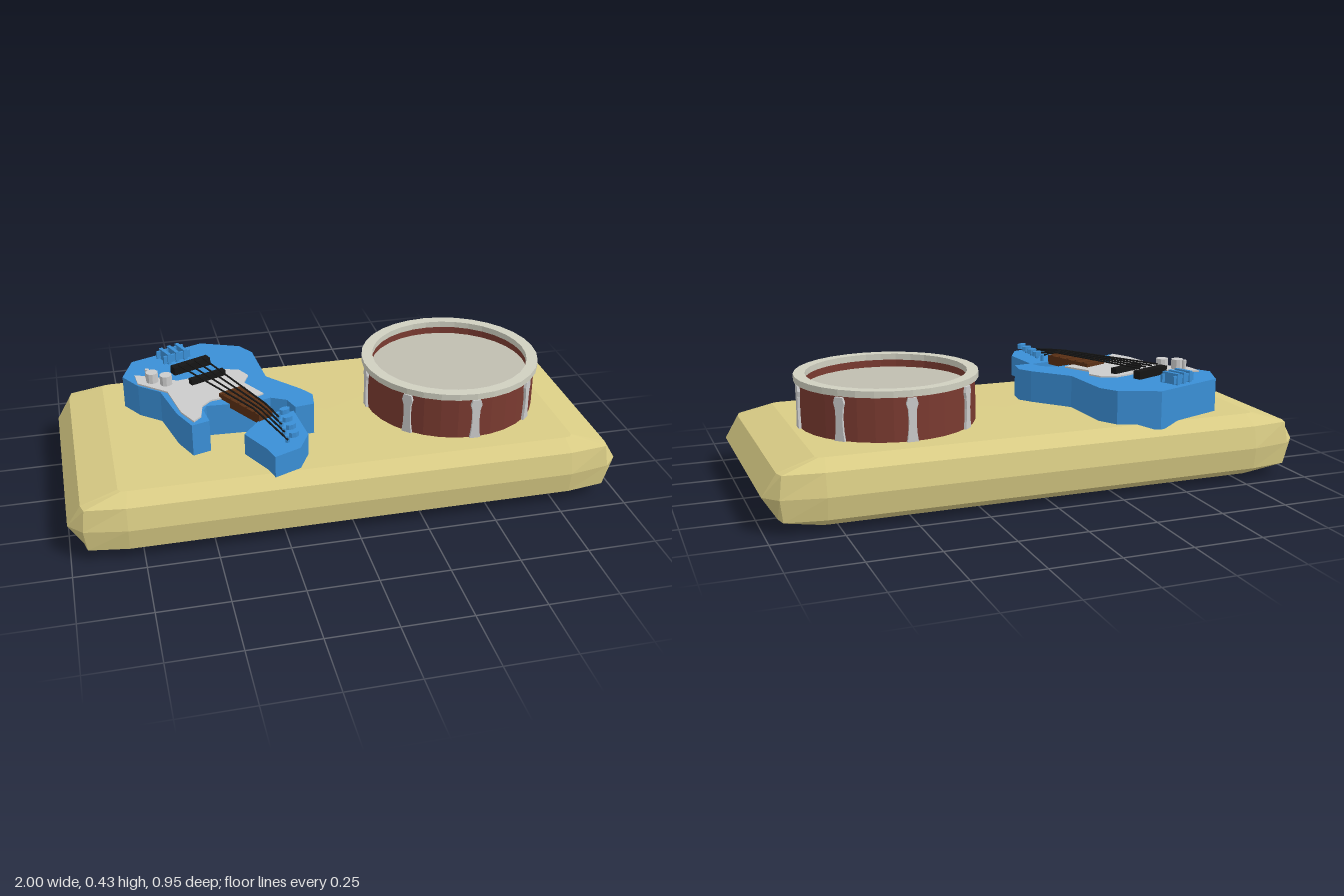
import * as THREE from 'three';

const mat = (color, extra = {}) => {
  const m = new THREE.MeshStandardMaterial({ color, flatShading: true, ...extra });
  return m;
};
const SAND = mat(0xd9cc85), BLUE = mat(0x3a8fd6), RED = mat(0x7a3a30, { side: THREE.DoubleSide });
const BROWN = mat(0x5a2f14), BLACK = mat(0x151515), GREY = mat(0xcccccc);
const RIM = mat(0xcfcfc0), SKIN = mat(0xc0bdb0);

function add(parent, name, geometry, material, x = 0, y = 0, z = 0) {
  const mesh = new THREE.Mesh(geometry, material);
  mesh.name = name;
  mesh.position.set(x, y, z);
  parent.add(mesh);
  return mesh;
}

// Flat plate cut from an x/z outline, between two heights
function plate(parent, name, outline, y0, y1, material) {
  const shape = new THREE.Shape(outline.map(([x, z]) => new THREE.Vector2(x, z)));
  const g = new THREE.ExtrudeGeometry(shape, { depth: y1 - y0, bevelEnabled: false });
  g.rotateX(Math.PI / 2);
  return add(parent, name, g, material, 0, y1, 0);
}

// Slab with chamfered edges, lofted from twelve-sided rings
function slabGeometry() {
  // y, end x, end z, corner x, corner z, side x, side z
  const rings = [
    [0.01, 0.82, 0.37, 0.81, 0.39, 0.79, 0.395],
    [0.045, 0.95, 0.385, 0.94, 0.43, 0.8, 0.452],
    [0.125, 1, 0.385, 0.95, 0.438, 0.8, 0.465],
    [0.205, 0.95, 0.395, 0.94, 0.43, 0.8, 0.448],
    [0.243, 0.82, 0.38, 0.81, 0.395, 0.79, 0.398],
  ];
  const pos = [], index = [], n = 12;
  for (const [y, ...p] of rings) {
    [[1, 1], [-1, 1], [-1, -1], [1, -1]].forEach(([sx, sz]) => {
      const corner = [[p[0], p[1]], [p[2], p[3]], [p[4], p[5]]];
      if (sx * sz < 0) corner.reverse();
      corner.forEach(([x, z]) => pos.push(sx * x, y, sz * z - 0.01));
    });
  }
  const last = (rings.length - 1) * n, bottom = rings.length * n, top = bottom + 1;
  pos.push(0, 0, -0.01, 0, 0.247, -0.01);
  for (let i = 0; i < n; i++) {
    const j = (i + 1) % n;
    for (let r = 0; r < last; r += n) {
      index.push(r + i, r + n + i, r + j, r + j, r + n + i, r + n + j);
    }
    index.push(bottom, i, j, top, last + j, last + i);
  }
  const g = new THREE.BufferGeometry();
  g.setAttribute('position', new THREE.Float32BufferAttribute(pos, 3));
  g.setIndex(index);
  g.computeVertexNormals();
  return g;
}

function createDrum() {
  const drum = new THREE.Group();
  drum.name = 'drum';
  drum.position.set(0.47, 0, -0.012);
  const lathe = (pts) => new THREE.LatheGeometry(pts.map(([r, y]) => new THREE.Vector2(r, y)), 32);
  add(drum, 'drumShell', lathe([[0.32, 0.235], [0.32, 0.402], [0.295, 0.402], [0.295, 0.36]]), RED);
  add(drum, 'drumRim', lathe([[0.291, 0.402], [0.332, 0.402], [0.332, 0.425], [0.291, 0.425], [0.291, 0.402]]), RIM);
  add(drum, 'drumSkin', new THREE.CylinderGeometry(0.295, 0.295, 0.012, 32), SKIN, 0, 0.368, 0);

  // Eight waisted lugs round the shell
  const half = [[0.02, 0], [0.015, 0.035], [0.013, 0.075], [0.015, 0.115], [0.021, 0.135], [0.015, 0.155]];
  const outline = [...half, ...half.map(([x, y]) => [-x, y]).reverse()];
  const lug = new THREE.ExtrudeGeometry(
    new THREE.Shape(outline.map(([x, y]) => new THREE.Vector2(x, y))), { depth: 0.018, bevelEnabled: false });
  lug.translate(0, 0.242, 0.31);
  for (let i = 0; i < 8; i++) add(drum, 'drumLug', lug, GREY).rotation.y = i * Math.PI / 4;
  return drum;
}

function createGuitar() {
  const guitar = new THREE.Group();
  guitar.name = 'guitar';
  const tilt = 0.4;
  const box = (name, material, x, y, z, w, h, d) => {
    const m = add(guitar, name, new THREE.BoxGeometry(w, h, d), material, x, y, z);
    m.rotation.y = tilt;
    return m;
  };

  plate(guitar, 'guitarBody', [
    [-0.42, -0.44], [-0.275, -0.38], [-0.235, -0.315], [-0.22, -0.1], [-0.11, 0.03], [-0.08, 0.08],
    [-0.09, 0.15], [-0.16, 0.16], [-0.18, 0.1], [-0.235, 0.07], [-0.3, 0.09], [-0.47, 0.08],
    [-0.485, 0.11], [-0.475, 0.19], [-0.54, 0.21], [-0.58, 0.115], [-0.62, -0.065], [-0.695, -0.13],
    [-0.745, -0.215], [-0.7, -0.335],
  ], 0.225, 0.366, BLUE);
  plate(guitar, 'headstock', [
    [-0.17, 0.175], [-0.155, 0.35], [-0.2, 0.435], [-0.295, 0.475], [-0.31, 0.42], [-0.37, 0.3], [-0.29, 0.2],
  ], 0.28, 0.36, BLUE);
  plate(guitar, 'pickguard', [
    [-0.7, -0.21], [-0.62, -0.175], [-0.55, -0.13], [-0.49, -0.14], [-0.42, -0.17], [-0.365, -0.185],
    [-0.31, -0.165], [-0.285, -0.115], [-0.31, -0.06], [-0.255, 0.04], [-0.305, 0.065], [-0.4, 0.04],
    [-0.45, 0.05], [-0.485, 0.085], [-0.5, 0.16], [-0.53, 0.19], [-0.565, 0.115], [-0.595, -0.05], [-0.695, -0.14],
  ], 0.36, 0.372, GREY);
  plate(guitar, 'fretboard', [[-0.417, 0.03], [-0.326, -0.01], [-0.25, 0.195], [-0.305, 0.225]], 0.35, 0.386, BROWN);
  for (let i = 0; i < 5; i++) {
    const t = (i + 0.5) / 5;
    box('fret', BROWN, -0.371 + 0.093 * t, 0.387, 0.01 + 0.2 * t, 0.098 - 0.036 * t, 0.006, 0.008);
  }

  // Bridge and pickup
  box('bridge', BLACK, -0.487, 0.385, -0.22, 0.155, 0.03, 0.032);
  box('pickup', BLACK, -0.438, 0.38, -0.117, 0.145, 0.026, 0.024);

  // Strings running from bridge to headstock
  for (let i = 0; i < 4; i++) {
    const points = [
      [-0.535 + 0.032 * i, 0.405, -0.19 - 0.014 * i],
      [-0.315 + 0.016 * i, 0.4, 0.205 - 0.008 * i],
      [-0.235, 0.375, 0.4 - 0.055 * i],
    ].map((p) => new THREE.Vector3(...p));
    const path = new THREE.CurvePath();
    path.add(new THREE.LineCurve3(points[0], points[1]));
    path.add(new THREE.LineCurve3(points[1], points[2]));
    add(guitar, 'string', new THREE.TubeGeometry(path, 12, 0.0035, 5), BLACK);
    // Tuning peg: post with a small rounded button
    const z = 0.385 - 0.055 * i;
    add(guitar, 'tunerPost', new THREE.CylinderGeometry(0.008, 0.008, 0.03, 8), BLUE, -0.235, 0.37, z);
    const button = add(guitar, 'tunerButton', new THREE.CylinderGeometry(0.013, 0.013, 0.018, 8), BLUE, -0.212, 0.39, z);
    button.scale.x = 1.6;
    button.rotation.y = 0.4;
  }

  // Raised tailpiece of three bars and two rails
  const tail = new THREE.Group();
  tail.name = 'tailpiece';
  tail.position.set(-0.54, 0.385, -0.33);
  tail.rotation.y = tilt;
  for (const x of [-0.035, 0, 0.035]) add(tail, 'tailpieceBar', new THREE.BoxGeometry(0.014, 0.045, 0.07), BLUE, x);
  for (const z of [-0.027, 0.027]) add(tail, 'tailpieceRail', new THREE.BoxGeometry(0.115, 0.03, 0.008), BLUE, 0, 0, z);
  guitar.add(tail);

  // Control knobs
  for (const [x, z] of [[-0.64, -0.147], [-0.592, -0.115]]) {
    add(guitar, 'knob', new THREE.CylinderGeometry(0.023, 0.023, 0.042, 10), GREY, x, 0.388, z);
  }
  add(guitar, 'switch', new THREE.CylinderGeometry(0.008, 0.008, 0.042, 8), GREY, -0.655, 0.388, -0.175);
  return guitar;
}

export function createModel() {
  const model = new THREE.Group();
  model.name = 'instrumentSlab';
  add(model, 'slab', slabGeometry(), SAND);
  model.add(createDrum(), createGuitar());
  return model;
}
